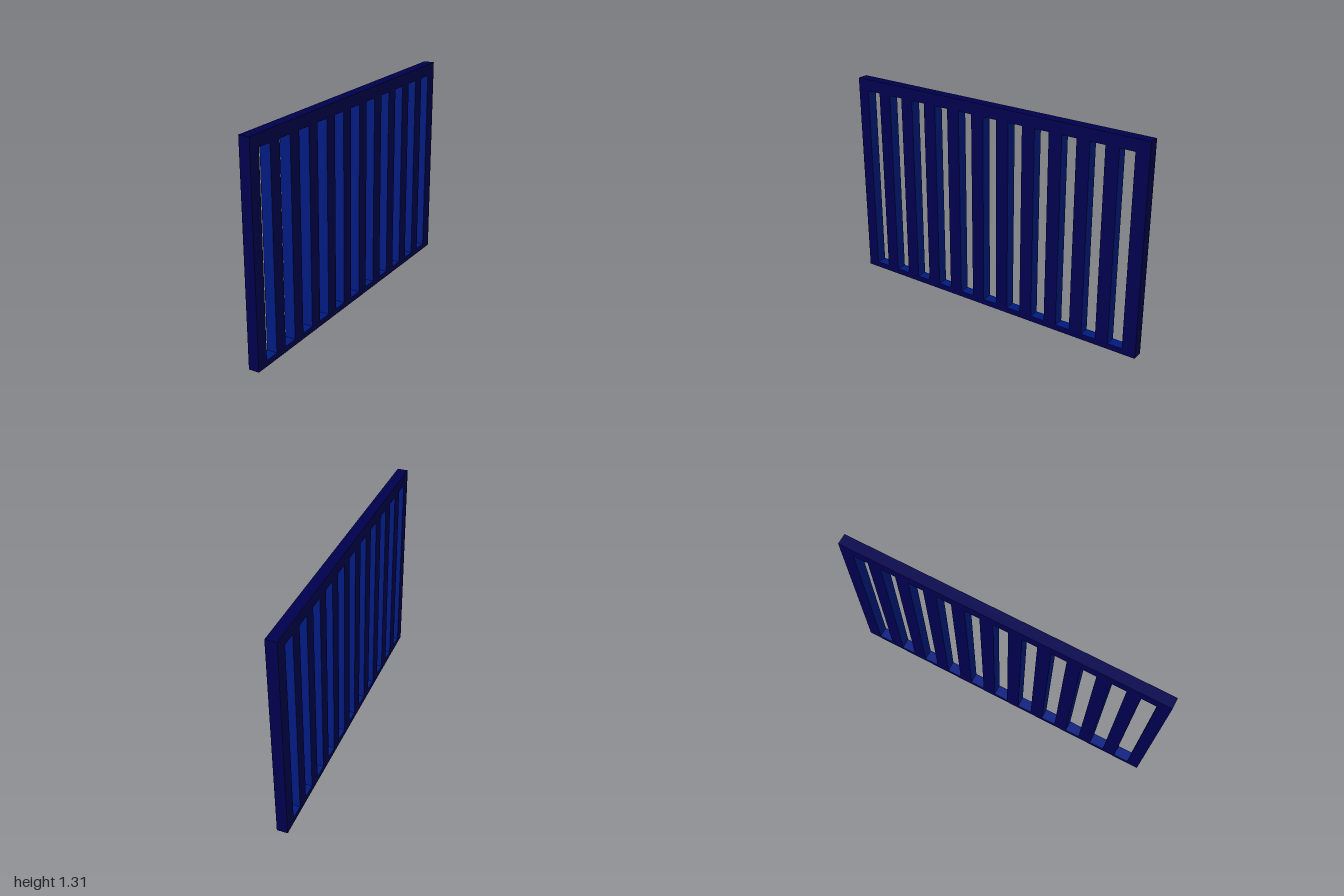
import * as THREE from 'three';

export function createModel() {
  const group = new THREE.Group();
  group.name = 'slattedPanel';

  const navy = new THREE.MeshStandardMaterial({ color: 0x00004d });
  navy.name = 'navy';
  const blue = new THREE.MeshStandardMaterial({ color: 0x001a80 });
  blue.name = 'inner blue';

  const depth = 0.066;
  const height = 1.307;
  const sillTop = 0.037;
  const headBottom = 1.234;
  const openings = 11;
  const pitch = 0.175;
  const openingWidth = 0.092;
  const firstEdge = 0.926;

  // Box between two heights and two z positions; innerSides lists the faces
  // lining an opening (order: +x, -x, +y, -y, +z, -z)
  function bar(name, y0, y1, z0, z1, innerSides) {
    const materials = Array.from({ length: 6 }, (_, i) => (innerSides.includes(i) ? blue : navy));
    const mesh = new THREE.Mesh(new THREE.BoxGeometry(depth, y1 - y0, z1 - z0), materials);
    mesh.position.set(0, (y0 + y1) / 2, (z0 + z1) / 2);
    mesh.name = name;
    group.add(mesh);
  }

  // Rails
  bar('bottomRail', 0, sillTop, -1, 1, [2]);
  bar('topRail', headBottom, height, -1, 1, [3]);

  // End posts
  const lastEdge = firstEdge - pitch * (openings - 1) - openingWidth;
  bar('frontPost', sillTop, headBottom, firstEdge, 1, [5]);
  bar('backPost', sillTop, headBottom, -1, lastEdge, [4]);

  // Slats between the openings
  for (let i = 1; i < openings; i++) {
    const back = firstEdge - pitch * i;
    const front = back + pitch - openingWidth;
    bar('slat' + i, sillTop, headBottom, back, front, [4, 5]);
  }

  return group;
}
